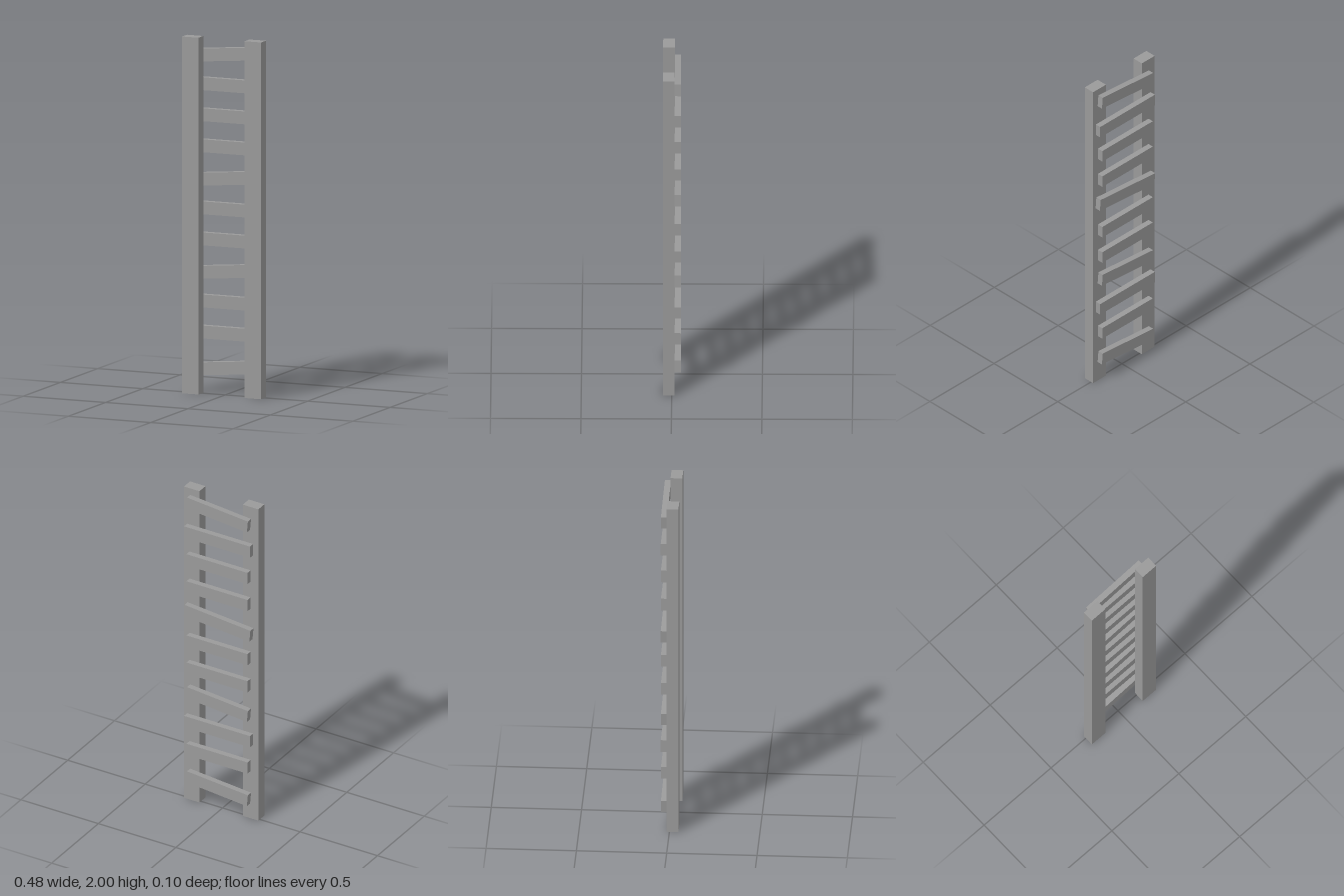
import * as THREE from 'three';

export function createModel() {
  const group = new THREE.Group();
  group.name = 'ladder';
  const material = new THREE.MeshStandardMaterial({ color: 0x9a9a9a });

  const addBoard = (name, size, position, tilt = 0) => {
    const mesh = new THREE.Mesh(new THREE.BoxGeometry(...size), material);
    mesh.name = name;
    mesh.position.set(...position);
    mesh.rotation.z = tilt;
    group.add(mesh);
  };

  // Two upright rails
  addBoard('leftRail', [0.1, 2, 0.065], [0.19, 1, 0.017]);
  addBoard('rightRail', [0.1, 2, 0.065], [-0.19, 1, 0.017]);

  // Rungs fixed to the back; some are crooked, some are longer
  const crooked = [0, 3, 6, 10];
  const long = [2, 6, 9];
  const count = 11, firstY = 0.147, secondY = 0.34, lastY = 1.906;
  const step = (lastY - secondY) / (count - 2);
  for (let i = 0; i < count; i++) {
    const isLong = long.includes(i);
    const y = i === 0 ? firstY : secondY + (i - 1) * step;
    addBoard(`rung${i + 1}`, [isLong ? 0.426 : 0.394, 0.072, 0.034],
      [0.006, y, -0.033], crooked.includes(i) ? 0.087 : 0);
  }
  return group;
}
